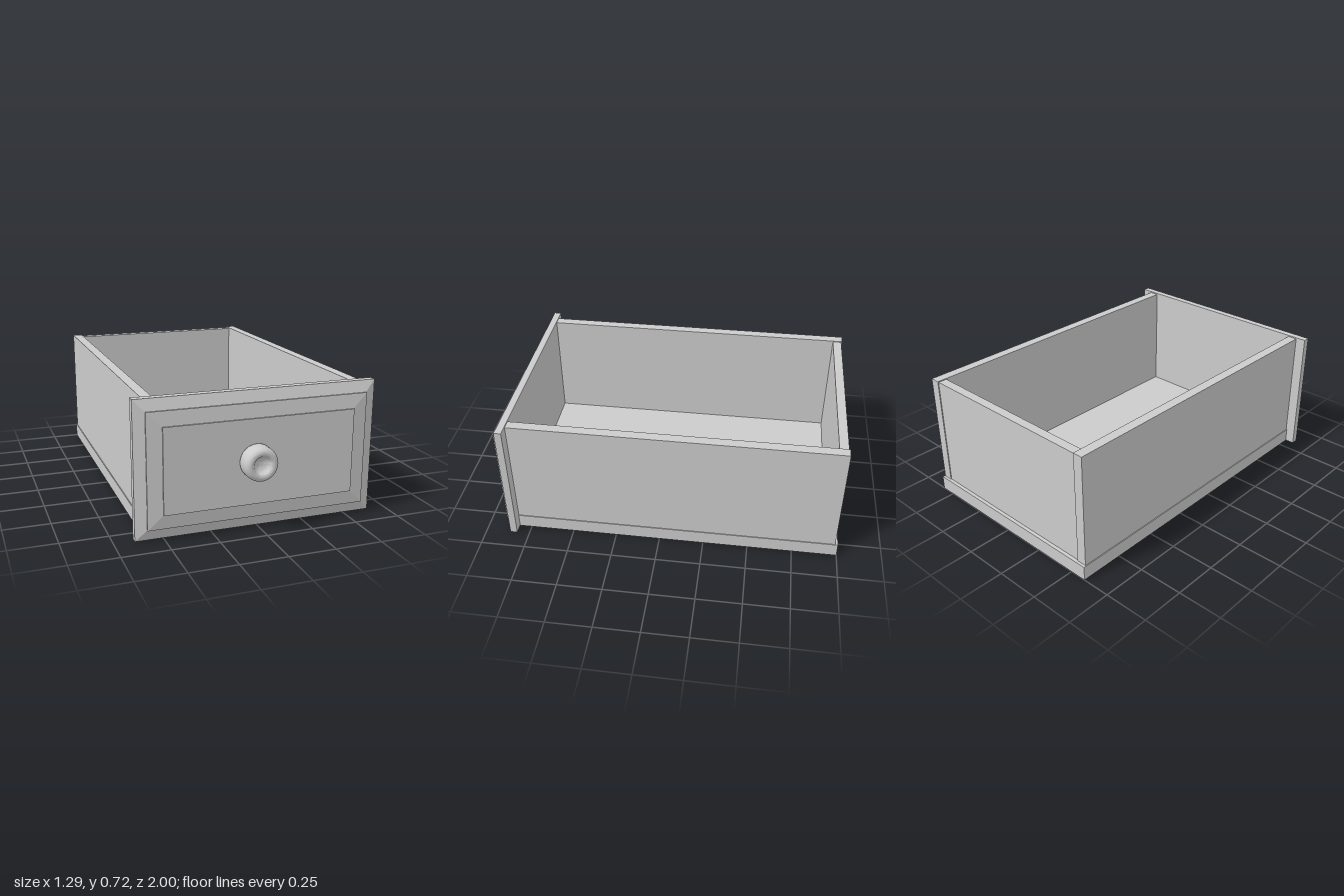
import * as THREE from 'three';
import { toCreasedNormals } from 'three/addons/utils/BufferGeometryUtils.js';

const material = new THREE.MeshStandardMaterial({ color: 0xcccccc });

// Box given by its minimum and maximum corners
function board(name, min, max) {
  const size = max.map((v, i) => v - min[i]);
  const mesh = new THREE.Mesh(new THREE.BoxGeometry(...size), material);
  mesh.position.set(...max.map((v, i) => (v + min[i]) / 2));
  mesh.name = name;
  return mesh;
}

// Stack of rectangles [halfWidth, halfHeight, z] joined back to front, capped at both ends
function steppedPanel(rings) {
  const pos = [];
  const corners = ([w, h, z]) => [[-w, -h, z], [w, -h, z], [w, h, z], [-w, h, z]];
  const quad = (a, b, c, d) => pos.push(...a, ...b, ...c, ...a, ...c, ...d);
  for (let i = 0; i < rings.length - 1; i++) {
    const a = corners(rings[i]), b = corners(rings[i + 1]);
    for (let k = 0; k < 4; k++) {
      const n = (k + 1) % 4;
      quad(a[k], a[n], b[n], b[k]);
    }
  }
  quad(...corners(rings[0]).reverse());
  quad(...corners(rings[rings.length - 1]));
  const geometry = new THREE.BufferGeometry();
  geometry.setAttribute('position', new THREE.Float32BufferAttribute(pos, 3));
  geometry.computeVertexNormals();
  return geometry;
}

export function createModel() {
  const drawer = new THREE.Group();
  drawer.name = 'drawer';

  // Open box: floor slab, two sides and a back board between them
  drawer.add(board('bottom', [-0.593, 0, -1], [0.587, 0.08, 0.82]));
  drawer.add(board('rightSide', [-0.588, 0.08, -0.985], [-0.533, 0.715, 0.82]));
  drawer.add(board('leftSide', [0.528, 0.08, -0.985], [0.583, 0.715, 0.82]));
  drawer.add(board('back', [-0.533, 0.08, -0.98], [0.528, 0.71, -0.93]));

  // Front panel with two bevels, each ending in a small step
  const front = new THREE.Mesh(steppedPanel([
    [0.646, 0.36, 0.82],
    [0.646, 0.36, 0.86],
    [0.588, 0.3, 0.882],
    [0.588, 0.3, 0.89],
    [0.51, 0.224, 0.9],
    [0.51, 0.224, 0.908],
  ]), material);
  front.position.y = 0.362;
  front.name = 'frontPanel';
  drawer.add(front);

  // Round knob with a dished face
  const profile = new THREE.Path();
  profile.moveTo(0.08, 0);
  profile.quadraticCurveTo(0.09, 0.004, 0.09, 0.015);
  profile.lineTo(0.09, 0.055);
  profile.bezierCurveTo(0.09, 0.08, 0.078, 0.095, 0.062, 0.095);
  profile.quadraticCurveTo(0.05, 0.095, 0.045, 0.085);
  profile.bezierCurveTo(0.04, 0.068, 0.02, 0.06, 0, 0.06);
  const knob = new THREE.Mesh(
    toCreasedNormals(new THREE.LatheGeometry(profile.getPoints(8), 40), 0.7), material);
  knob.rotation.x = Math.PI / 2;
  knob.position.set(-0.03, 0.37, 0.905);
  knob.name = 'knob';
  drawer.add(knob);

  return drawer;
}
